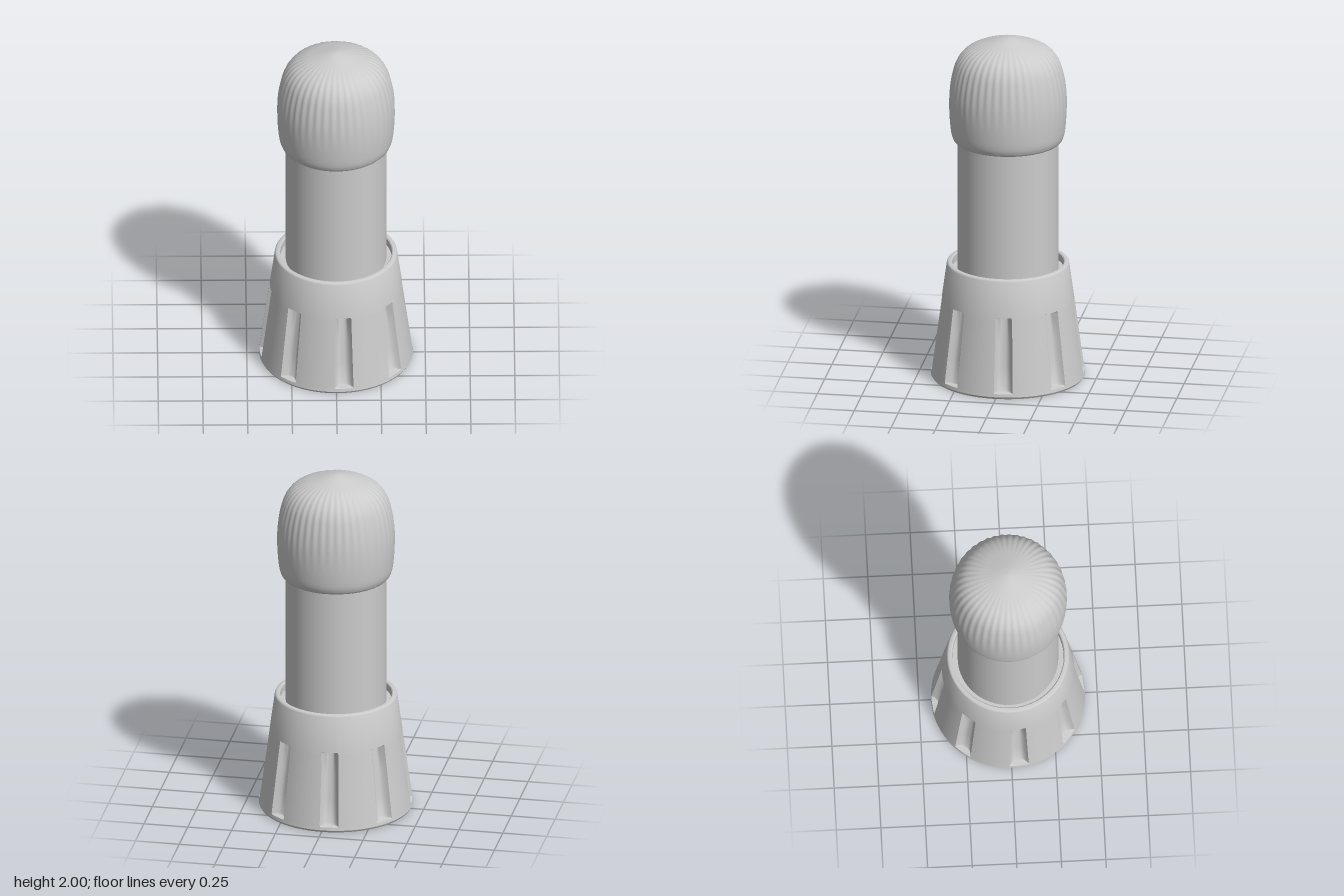
import * as THREE from 'three';
import { toCreasedNormals } from 'three/addons/utils/BufferGeometryUtils.js';

const material = new THREE.MeshStandardMaterial({ color: 0xcccccc, side: THREE.DoubleSide });

// Crease at a large scale so that small details keep separate normals.
function crease(geometry, degrees) {
  geometry.scale(200, 200, 200);
  const result = toCreasedNormals(geometry, THREE.MathUtils.degToRad(degrees));
  return result.scale(1 / 200, 1 / 200, 1 / 200);
}

// Revolve a profile, then reshape each vertex by rule(angle, radius, y) -> [angle, radius].
function turned(name, profile, segments, rule, degrees) {
  const geometry = new THREE.LatheGeometry(profile.map(([r, y]) => new THREE.Vector2(r, y)), segments);
  const p = geometry.attributes.position;
  const uv = geometry.attributes.uv;
  for (let i = 0; i < p.count; i++) {
    const radius = Math.hypot(p.getX(i), p.getZ(i));
    const [a, r] = rule(uv.getX(i) * Math.PI * 2, radius, p.getY(i));
    p.setXYZ(i, r * Math.sin(a), p.getY(i), r * Math.cos(a));
  }
  const mesh = new THREE.Mesh(crease(geometry, degrees), material);
  mesh.name = name;
  return mesh;
}

// Tapered sleeve with eight rounded grip slots
function createSleeve() {
  const slots = 8, pitch = Math.PI * 2 / slots, halfWidth = 0.125, depth = 0.04;
  const offset = THREE.MathUtils.degToRad(5.7);
  const profile = [
    [0, 0], [0.425, 0], [0.432, 0.012], [0.429, 0.03], [0.4285, 0.034], [0.427, 0.045],
    [0.41, 0.17], [0.39, 0.32], [0.373, 0.447], [0.3722, 0.453], [0.371, 0.46],
    [0.343, 0.665], [0.339, 0.672], [0.333, 0.675], [0.318, 0.675], [0.313, 0.67],
    [0.312, 0.63], [0.27, 0.63],
  ];
  return turned('gripSleeve', profile, slots * 32, (angle, r, y) => {
    // Crowd most segments into the slots and spread the rest between them.
    const k = Math.round(angle / pitch);
    const u = (angle - k * pitch) / (pitch / 2);
    const s = Math.abs(u);
    const local = s <= 0.625 ? s / 0.625 * halfWidth
      : halfWidth + (s - 0.625) / 0.375 * (pitch / 2 - halfWidth);
    const inSlot = y > 0.032 && y < 0.455;
    const t = Math.min(local / halfWidth, 1);
    const endDepth = y < 0.04 || y > 0.45 ? 0.85 : 1;
    const cut = inSlot ? depth * endDepth * (1 - t ** 3) : 0;
    return [k * pitch + Math.sign(u) * local + offset, r - cut];
  }, 38);
}

// Domed head with shallow pleats that fade out toward the tip and the hem
function createHead() {
  const outline = new THREE.CatmullRomCurve3([
    [0.305, 1.402], [0.316, 1.43], [0.325, 1.5], [0.33, 1.6], [0.327, 1.69], [0.313, 1.78],
    [0.287, 1.86], [0.245, 1.915], [0.185, 1.95], [0.11, 1.975], [0.04, 1.994], [0, 2],
  ].map(([r, y]) => new THREE.Vector3(r, y, 0)), false, 'centripetal');
  const profile = [[0.27, 1.395], [0.298, 1.395],
    ...outline.getPoints(44).map(v => [Math.max(v.x, 0), v.y])];
  const pleats = 44, { smoothstep } = THREE.MathUtils;
  return turned('pleatedHead', profile, pleats * 6, (angle, r, y) => {
    const fade = smoothstep(y, 1.5, 1.8) * smoothstep(r, 0.06, 0.25);
    return [angle, r - 0.005 * fade * (0.5 + 0.5 * Math.cos(pleats * angle))];
  }, 50);
}

export function createModel() {
  const model = new THREE.Group();

  // Plain straight shaft between sleeve and head
  const shaft = new THREE.Mesh(new THREE.CylinderGeometry(0.282, 0.282, 0.8, 96), material);
  shaft.name = 'shaft';
  shaft.position.y = 1.01;

  model.add(createSleeve(), shaft, createHead());
  return model;
}
